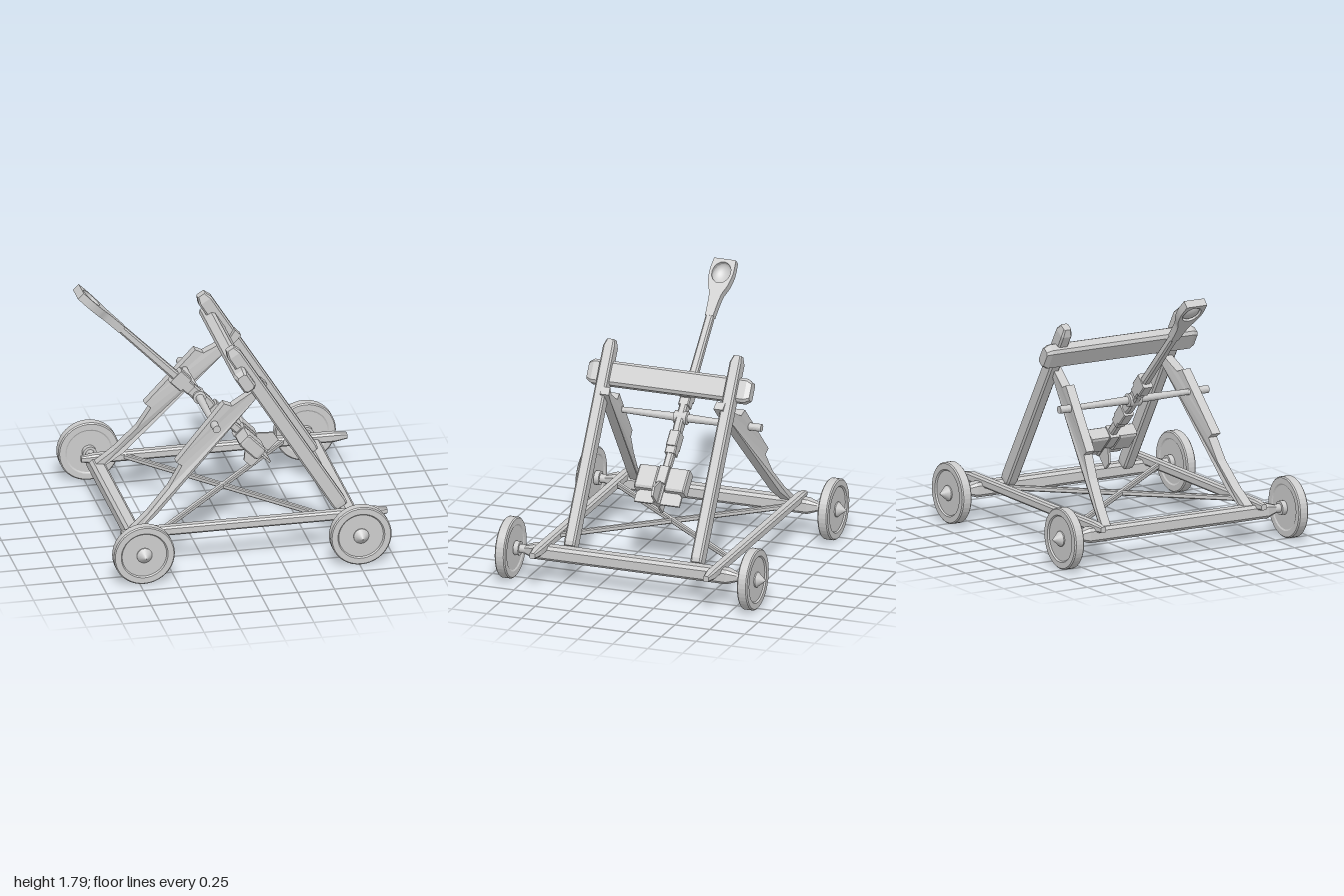
import * as THREE from 'three';

const mat = new THREE.MeshStandardMaterial({ color: 0xcccccc, side: THREE.DoubleSide });
const V = (x, y, z) => new THREE.Vector3(x, y, z);

function add(parent, name, geometry) {
  const m = new THREE.Mesh(geometry, mat);
  m.name = name;
  parent.add(m);
  return m;
}

const flat = (g) => {
  const f = g.index ? g.toNonIndexed() : g;
  f.computeVertexNormals();
  return f;
};

// Chamfered rectangular sections [position, height, width] joined along local x
function loft(stations, chamfer = 0.2) {
  const ring = ([s, h, w]) => {
    const a = h / 2, b = w / 2, c = Math.min(h, w) * chamfer;
    return [[a, -b + c], [a, b - c], [a - c, b], [-a + c, b], [-a, b - c], [-a, -b + c], [-a + c, -b], [a - c, -b]]
      .map(([y, z]) => V(s, y, z));
  };
  const rings = stations.map(ring), pts = [];
  for (let k = 0; k < rings.length - 1; k++) {
    for (let i = 0; i < 8; i++) {
      const j = (i + 1) % 8, p = rings[k], q = rings[k + 1];
      pts.push(p[i], p[j], q[j], p[i], q[j], q[i]);
    }
  }
  const first = rings[0], last = rings[rings.length - 1];
  for (let i = 1; i < 7; i++) {
    pts.push(first[0], first[i + 1], first[i], last[0], last[i], last[i + 1]);
  }
  const g = new THREE.BufferGeometry().setFromPoints(pts);
  g.computeVertexNormals();
  return g;
}

// Turn local x to a direction, keeping local z along the side vector
const aim = (origin, d, side) =>
  new THREE.Matrix4().makeBasis(d, side.clone().cross(d), side).setPosition(origin);

// Beam from a to b, narrowing over the last "tip" of each end
function beam(parent, name, a, b, h, w, side, tip = 0.03, shrink = 0.65) {
  const L = a.distanceTo(b), d = b.clone().sub(a).normalize();
  const g = loft([[0, h * shrink, w * shrink], [tip, h, w], [L - tip, h, w], [L, h * shrink, w * shrink]]);
  return add(parent, name, g.applyMatrix4(aim(a, d, side)));
}

// Wheel revolved around z, its outside facing +z
function wheelGeometry() {
  const p = [[0, -0.03], [0.15, -0.03], [0.16, -0.036], [0.2, -0.036], [0.208, -0.028], [0.208, 0.028],
    [0.2, 0.036], [0.16, 0.036], [0.152, 0.026], [0.052, 0.026], [0.052, 0.034], [0, 0.095]];
  const g = new THREE.LatheGeometry(p.map(([r, y]) => new THREE.Vector2(r, y)), 40);
  return flat(g.rotateX(Math.PI / 2));
}

export function createModel() {
  const model = new THREE.Group();
  model.name = 'catapult';
  const X = V(1, 0, 0), Y = V(0, 1, 0), Z = V(0, 0, 1);

  // Chassis: axle beams with wheels
  const chassis = new THREE.Group();
  chassis.name = 'chassis';
  model.add(chassis);
  for (const x of [-0.72, 0.76]) {
    beam(chassis, 'axleBeam', V(x, 0.21, -0.76), V(x, 0.21, 0.76), 0.1, 0.1, X, 0.07, 0.55);
    for (const s of [1, -1]) {
      const w = add(chassis, 'wheel', wheelGeometry());
      w.position.set(x, 0.21, s * 0.867);
      if (s < 0) w.rotation.y = Math.PI;
      for (const [r, len, z] of [[0.03, 0.14, 0.78], [0.048, 0.035, 0.815]]) {
        const c = add(chassis, 'wheelAxle', new THREE.CylinderGeometry(r, r, len, 20).rotateX(Math.PI / 2));
        c.position.set(x, 0.21, s * z);
      }
    }
  }

  // Side rails and the diagonal rods under the frame
  for (const s of [1, -1]) {
    beam(chassis, 'sideRail', V(-0.82, 0.257, s * 0.622), V(0.995, 0.257, s * 0.622), 0.065, 0.066, Z, 0.09, 0.6);
    const a = V(-0.53, 0.26, -s * 0.61), b = V(0.55, 0.26, s * 0.61);
    const d = b.clone().sub(a).normalize();
    beam(chassis, 'diagonalRod', a, b, 0.035, 0.035, d.clone().cross(Y), 0.01, 0.9);
  }

  // Upright frame: posts, crossbar and the plated braces
  const frame = new THREE.Group();
  frame.name = 'uprightFrame';
  model.add(frame);
  const postDir = V(0.76, -1.22, 0).normalize();
  const outline = [[-0.74, 0.2], [-0.56, 0.34], [0.17, 1.11], [0.22, 1.17], [0.18, 1.21], [0.14, 1.145], [-0.03, 1.05],
    [-0.085, 1.075], [-0.42, 0.695], [-0.38, 0.665], [-0.47, 0.52], [-0.62, 0.36], [-0.75, 0.25]];
  const zAt = (x) => (x < -0.41 ? 0.485 + (-0.41 - x) * 0.2 : x < 0 ? 0.44 - x * 0.11 : 0.44 - x * 0.15);
  for (const s of [1, -1]) {
    const g = loft([[0, 0.06, 0.055], [0.05, 0.1, 0.08], [1.4, 0.104, 0.08], [1.43, 0.09, 0.075]], 0.15);
    add(frame, 'post', g.applyMatrix4(aim(V(-0.04, 1.465, s * 0.453), postDir, Z)));

    const shape = new THREE.Shape(outline.map(([x, y]) => new THREE.Vector2(x, y)));
    const brace = new THREE.ExtrudeGeometry(shape, { depth: 0.065, bevelEnabled: false });
    const p = brace.attributes.position;
    for (let i = 0; i < p.count; i++) p.setZ(i, p.getZ(i) - 0.0325 + s * zAt(p.getX(i)));
    add(frame, 'brace', flat(brace));
  }
  beam(frame, 'crossbar', V(0.043, 1.255, -0.582), V(0.043, 1.255, 0.582), 0.095, 0.165, postDir, 0.035, 0.75);

  // Pivot rod, thicker toward the middle, with a hub
  const rod = [[0, -0.575], [0.026, -0.575], [0.026, -0.43], [0.02, -0.42], [0.028, -0.05], [0.045, -0.045],
    [0.045, 0.045], [0.028, 0.05], [0.02, 0.42], [0.026, 0.43], [0.026, 0.575], [0, 0.575]];
  const pivot = add(model, 'pivotRod',
    flat(new THREE.LatheGeometry(rod.map(([r, y]) => new THREE.Vector2(r, y)), 20).rotateX(Math.PI / 2)));
  pivot.position.set(-0.155, 0.935, 0);

  // Throwing arm, built along local x from the spoon tip
  const arm = new THREE.Group();
  arm.name = 'throwingArm';
  aim(V(-0.975, 1.77, 0), V(0.7, -0.713, 0).normalize(), Z).decompose(arm.position, arm.quaternion, arm.scale);
  model.add(arm);
  add(arm, 'armShaft', loft([[0.34, 0.052, 0.055], [0.6, 0.056, 0.055], [1.0, 0.06, 0.06], [1.08, 0.08, 0.055],
    [1.24, 0.085, 0.055], [1.3, 0.065, 0.055], [1.82, 0.05, 0.05]]));
  for (const [s0, s1, h] of [[0.94, 1.04, 0.115], [1.04, 1.09, 0.08], [1.29, 1.4, 0.1], [1.4, 1.45, 0.075]]) {
    add(arm, 'armBand', loft([[s0, h, 0.075], [s1, h, 0.075]], 0.1));
  }

  // Spoon with a hollow cup
  const spoon = new THREE.Shape();
  spoon.moveTo(0, -0.078);
  spoon.splineThru([[0.1, -0.085], [0.19, -0.07], [0.27, -0.042], [0.42, -0.028]].map((q) => new THREE.Vector2(...q)));
  spoon.lineTo(0.42, 0.028);
  spoon.splineThru([[0.27, 0.042], [0.19, 0.07], [0.1, 0.085], [0, 0.078]].map((q) => new THREE.Vector2(...q)));
  spoon.holes.push(new THREE.Path().absellipse(0.1, 0, 0.078, 0.066, 0, Math.PI * 2, true));
  const spoonGeo = new THREE.ExtrudeGeometry(spoon, { depth: 0.055, bevelEnabled: false, curveSegments: 8 });
  add(arm, 'spoon', spoonGeo.rotateX(-Math.PI / 2).translate(0, -0.027, 0));
  const bowl = add(arm, 'spoonBowl', new THREE.SphereGeometry(1, 24, 8, 0, Math.PI * 2, Math.PI / 2, Math.PI / 2));
  bowl.scale.set(0.08, 0.045, 0.068);
  bowl.position.set(0.1, 0.01, 0);

  // Counterweight: two side blocks, a strap and the crossed tail fins
  for (const s of [1, -1]) {
    const b = add(arm, 'weightBlock', loft([[1.56, 0.08, 0.14], [1.575, 0.1, 0.145], [1.715, 0.1, 0.145], [1.73, 0.08, 0.14]], 0.1));
    b.position.z = s * 0.107;
  }
  add(arm, 'weightStrap', loft([[1.555, 0.1, 0.07], [1.68, 0.1, 0.07]], 0.05));
  add(arm, 'crossFin', loft([[1.7, 0.015, 0.22], [1.75, 0.015, 0.325], [1.82, 0.015, 0.325]], 0.05));
  const fin = new THREE.Shape([[0.25, 0.62], [0.355, 0.615], [0.39, 0.56], [0.205, 0.38], [0.155, 0.43], [0.165, 0.53]]
    .map((q) => new THREE.Vector2(...q)));
  add(model, 'tailFin', new THREE.ExtrudeGeometry(fin, { depth: 0.016, bevelEnabled: false }).translate(0, 0, -0.008));

  return model;
}
